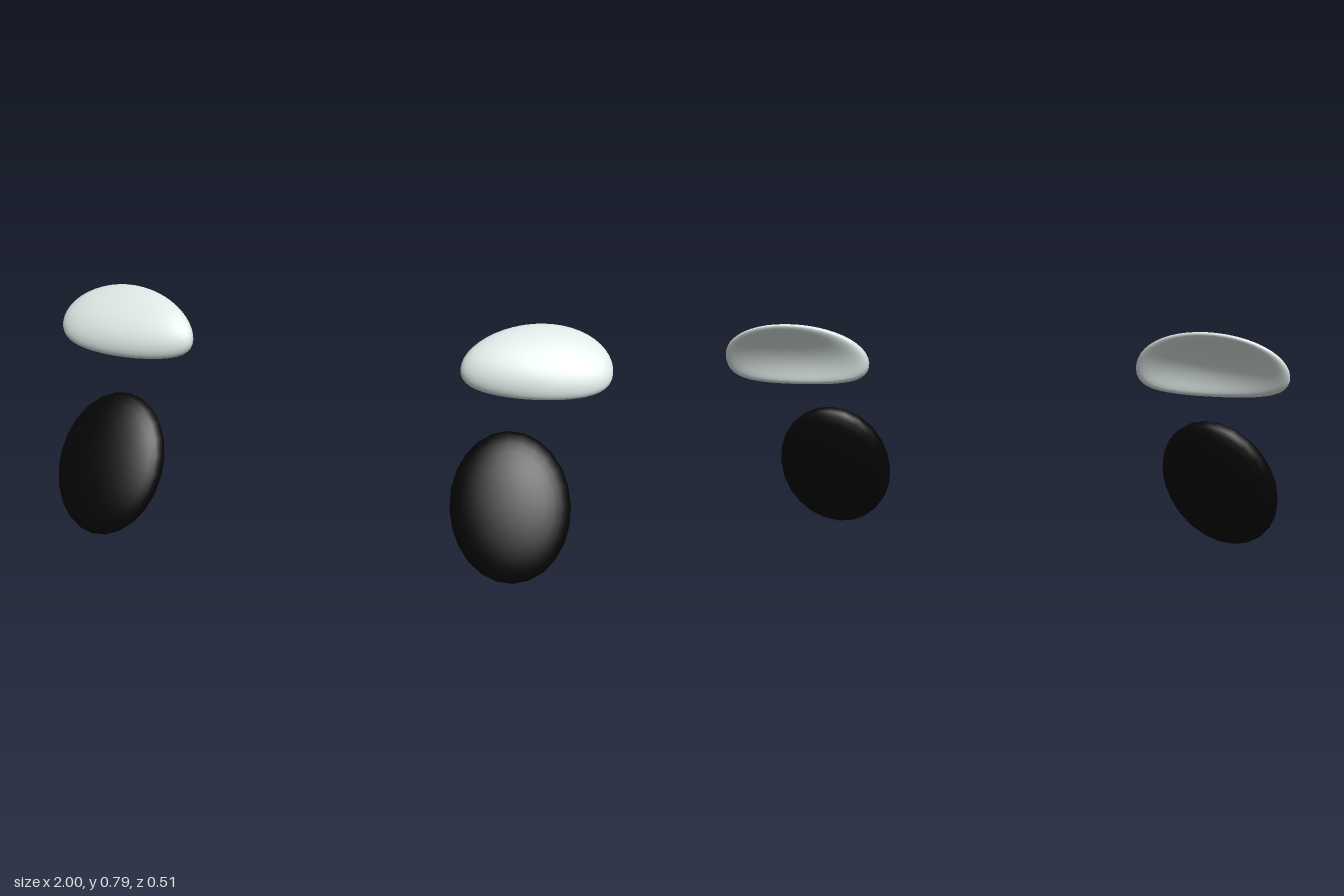
import * as THREE from 'three';
import { mergeVertices } from 'three/addons/utils/BufferGeometryUtils.js';

const eyeMaterial = new THREE.MeshStandardMaterial({ color: 0x050505 });
const browMaterial = new THREE.MeshStandardMaterial({ color: 0xdde8e5 });

// Fuller than a plain ellipsoid: maps -1..1 to -1..1 with a steeper middle
const fuller = (t) => (t * 1.3) / Math.sqrt(0.69 + t * t);

// Flattened ellipsoid, leaning back at the top and turned outwards
function createEye(side, x, y, z) {
  const geometry = new THREE.SphereGeometry(1, 24, 16).rotateX(Math.PI / 2);
  const eye = new THREE.Mesh(geometry, eyeMaterial);
  eye.scale.set(0.204, 0.258, 0.074);
  eye.rotation.set(-0.49, side * 0.17, side * 0.064, 'YXZ');
  eye.position.set(x, y, z);
  return eye;
}

// Bean-shaped pad: domed top, flat underside, bent back as a curved shell
function createBrow(side, halfWidth, x, y, z) {
  let geometry = new THREE.SphereGeometry(1, 48, 32).rotateX(Math.PI / 2);
  geometry.deleteAttribute('uv');
  geometry.deleteAttribute('normal');
  geometry = mergeVertices(geometry, 1e-5);
  const p = geometry.attributes.position;
  for (let i = 0; i < p.count; i++) {
    const px = p.getX(i), py = p.getY(i);
    const out = side * px; // +1 at the outer end, -1 at the inner end
    const dy = py > 0 ? 0.14 * py : 0.083 * fuller(py);
    const bend = -0.35 * dy - 4 * dy * dy - 0.035 * out * out - 0.04 * out - 0.15 * out * dy;
    p.setXYZ(i, halfWidth * px, dy, bend + 0.045 * fuller(p.getZ(i)));
  }
  geometry.computeVertexNormals();
  const brow = new THREE.Mesh(geometry, browMaterial);
  brow.position.set(x, y, z);
  return brow;
}

export function createModel() {
  const model = new THREE.Group();
  model.name = 'eyesAndBrows';
  const add = (mesh, name) => {
    mesh.name = name;
    model.add(mesh);
  };
  add(createEye(1, 0.71, 0.232, 0.113), 'leftEye');
  add(createEye(-1, -0.72, 0.238, 0.122), 'rightEye');
  add(createBrow(1, 0.255, 0.745, 0.637, -0.092), 'leftBrow');
  add(createBrow(-1, 0.263, -0.737, 0.65, -0.1), 'rightBrow');
  return model;
}
